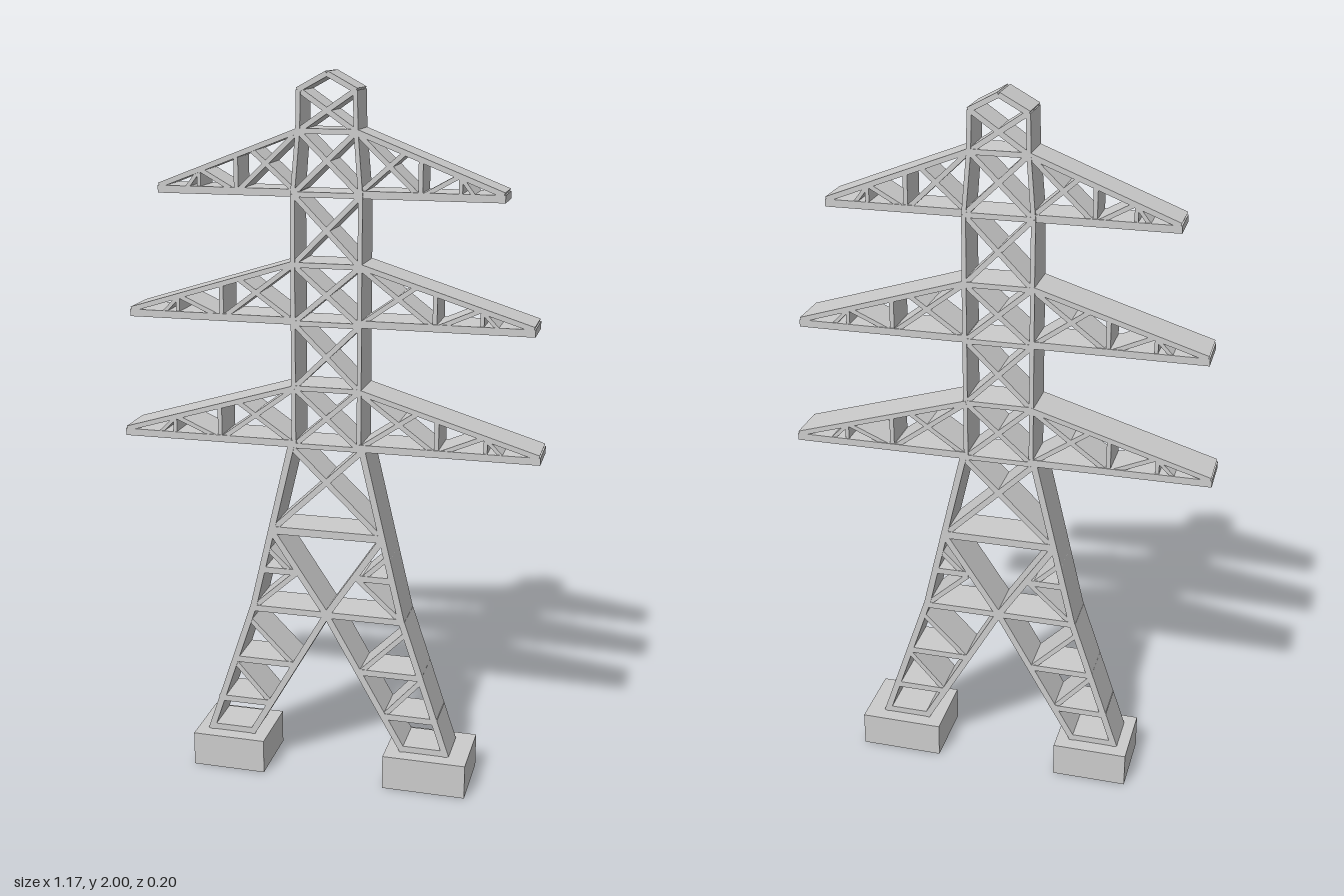
import * as THREE from 'three';

const material = new THREE.MeshStandardMaterial({ color: 0xcccccc, flatShading: true });
const DEPTH = 0.12;

// The upper mast gets slightly shallower towards its head
function mastDepth(y) {
  return DEPTH - 0.016 * THREE.MathUtils.clamp((y - 1.5) / 0.35, 0, 1);
}

// Flat plate running from (x1, y1) to (x2, y2), as deep as the frame
function bar(group, name, [x1, y1], [x2, y2], thick, depth = DEPTH, taper = false) {
  const geo = new THREE.BoxGeometry(Math.hypot(x2 - x1, y2 - y1), thick, 1);
  geo.rotateZ(Math.atan2(y2 - y1, x2 - x1));
  geo.translate((x1 + x2) / 2, (y1 + y2) / 2, 0);
  const p = geo.attributes.position;
  for (let i = 0; i < p.count; i++) {
    p.setZ(i, p.getZ(i) * (taper ? mastDepth(p.getY(i)) - (DEPTH - depth) : depth));
  }
  geo.computeVertexNormals();
  const mesh = new THREE.Mesh(geo, material);
  mesh.name = name;
  group.add(mesh);
}

// The same plate on both sides
function pair(group, name, a, b, thick, depth, taper) {
  bar(group, name + 'Left', a, b, thick, depth, taper);
  bar(group, name + 'Right', [-a[0], a[1]], [-b[0], b[1]], thick, depth, taper);
}

function part(root, name) {
  const g = new THREE.Group();
  g.name = name;
  root.add(g);
  return g;
}

function buildFeet(root) {
  const feet = part(root, 'feet');
  for (const [name, x0, x1] of [['footRight', -0.393, -0.179], ['footLeft', 0.176, 0.414]]) {
    const foot = new THREE.Mesh(new THREE.BoxGeometry(x1 - x0, 0.1, 0.2), material);
    foot.position.set((x0 + x1) / 2, 0.05, 0);
    foot.name = name;
    feet.add(foot);
  }
}

function buildLegs(root) {
  const legs = part(root, 'legs');
  // Main members
  pair(legs, 'outerLegLower', [0.352, 0.1], [0.218, 0.5], 0.018);
  pair(legs, 'outerLegUpper', [0.218, 0.497], [0.1, 0.995], 0.018);
  pair(legs, 'innerLeg', [0.228, 0.1], [0, 0.5], 0.018);
  pair(legs, 'innerStrut', [0, 0.5], [0.16, 0.74], 0.018);
  // Horizontal ties
  bar(legs, 'upperTie', [-0.165, 0.742], [0.165, 0.742], 0.022);
  bar(legs, 'middleTie', [-0.222, 0.5], [0.222, 0.5], 0.018);
  const rungs = [[0.09, 0.195, 0.62], [0.1, 0.28, 0.335], [0.168, 0.325, 0.205], [0.22, 0.352, 0.11]];
  for (const [x0, x1, y] of rungs) pair(legs, 'rung', [x0, y], [x1, y], 0.018);
  // Diagonals
  pair(legs, 'cross', [0.1, 0.99], [-0.155, 0.745], 0.016, 0.116);
  const braces = [
    [[0.085, 0.62], [0.212, 0.505]],
    [[0.1, 0.335], [0.23, 0.465]],
    [[0.168, 0.205], [0.28, 0.33]],
    [[0.105, 0.62], [0.178, 0.69]],
  ];
  for (const [a, b] of braces) pair(legs, 'brace', a, b, 0.014, 0.116);
}

function buildMast(root) {
  const mast = part(root, 'mast');
  // Half width and height of each level
  const levels = [
    [0.092, 0.995], [0.092, 1.158], [0.092, 1.338], [0.092, 1.496],
    [0.092, 1.682], [0.078, 1.845], [0.076, 1.95],
  ];
  levels.forEach(([w, y], i) => {
    if (i < levels.length - 1) bar(mast, 'mastTie', [-w, y], [w, y], 0.014, DEPTH, true);
    if (i === 0) return;
    const [w0, y0] = levels[i - 1];
    pair(mast, 'post', [w0, y0], [w, y], 0.012, DEPTH, true);
    pair(mast, 'mastCross', [w0, y0], [-w, y], 0.014, 0.116, true);
  });
  // Pitched cap
  pair(mast, 'cap', [0.078, 1.949], [0, 1.991], 0.014, DEPTH, true);
}

// A pair of crossarms: bottom chord, sloping top chord, and webs between
function buildArms(root, name, { y, top, root: r, tip, depth }) {
  const arms = part(root, name);
  const low = y + 0.01;
  const end = y + 0.022;
  const x = (t) => r + (tip - r) * t;
  const high = (t) => top + (end - top) * t;
  pair(arms, 'bottomChord', [r - 0.01, low], [tip, low], 0.02, depth);
  pair(arms, 'topChord', [r - 0.005, top - 0.006], [tip - 0.004, end - 0.002], 0.014, depth);
  const web = depth - 0.006;
  pair(arms, 'webLong', [r, top - 0.012], [x(0.42), low], 0.013, web);
  pair(arms, 'webShort', [r, low], [x(0.32), high(0.32) - 0.008], 0.013, web);
  pair(arms, 'uprightInner', [x(0.43), low], [x(0.43), high(0.43) - 0.006], 0.012, web);
  pair(arms, 'webOuter', [x(0.44), low], [x(0.69), high(0.69) - 0.006], 0.012, web);
  pair(arms, 'uprightOuter', [x(0.7), low], [x(0.7), high(0.7) - 0.006], 0.01, web);
  pair(arms, 'webTip', [x(0.7), high(0.7) - 0.008], [x(0.8), low], 0.01, web);
}

export function createModel() {
  const model = new THREE.Group();
  model.name = 'pylon';
  buildFeet(model);
  buildLegs(model);
  buildMast(model);
  buildArms(model, 'lowerArms', { y: 0.99, top: 1.164, root: 0.095, tip: 0.586, depth: 0.122 });
  buildArms(model, 'middleArms', { y: 1.334, top: 1.505, root: 0.095, tip: 0.56, depth: 0.12 });
  buildArms(model, 'upperArms', { y: 1.675, top: 1.852, root: 0.083, tip: 0.47, depth: 0.104 });
  return model;
}
